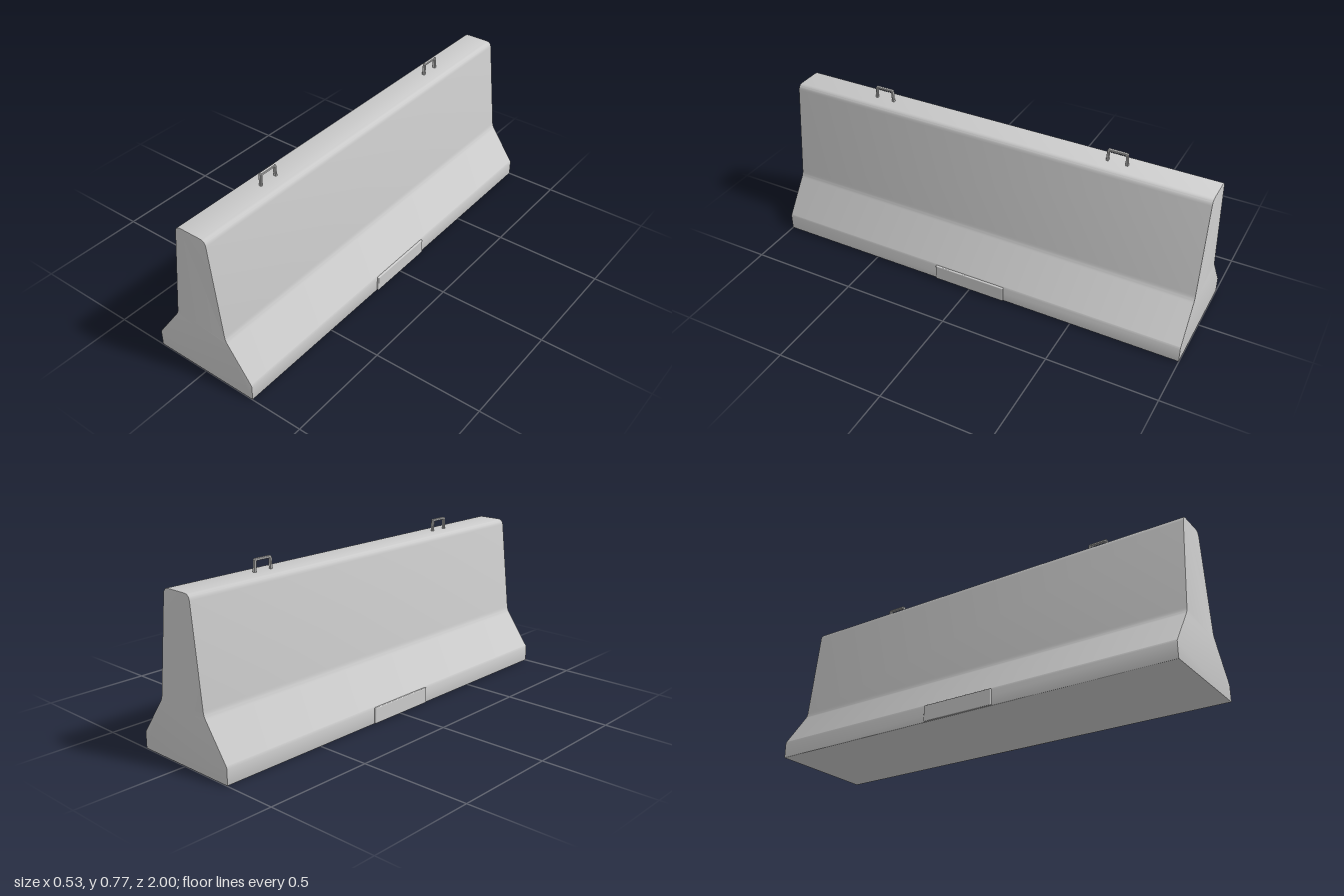
import * as THREE from 'three';
import { toCreasedNormals } from 'three/addons/utils/BufferGeometryUtils.js';
import { RoundedBoxGeometry } from 'three/addons/geometries/RoundedBoxGeometry.js';

export function createModel() {
  const model = new THREE.Group();
  model.name = 'roadBarrier';
  const concrete = new THREE.MeshStandardMaterial({ color: 0xcccccc });
  concrete.name = 'concrete grey';

  const add = (name, geometry, parent = model) => {
    const mesh = new THREE.Mesh(geometry, concrete);
    mesh.name = name;
    parent.add(mesh);
    return mesh;
  };

  // Barrier body: stepped profile with softened corners, run along z
  const s = new THREE.Shape();
  s.moveTo(-0.252, 0);
  s.lineTo(0.252, 0);
  s.quadraticCurveTo(0.257, 0, 0.257, 0.006);
  s.lineTo(0.257, 0.07);
  s.quadraticCurveTo(0.257, 0.076, 0.253, 0.081);
  s.lineTo(0.143, 0.234);
  s.quadraticCurveTo(0.132, 0.248, 0.13, 0.268);
  s.lineTo(0.08, 0.69);
  s.quadraticCurveTo(0.076, 0.716, 0.05, 0.716);
  s.lineTo(-0.05, 0.716);
  s.quadraticCurveTo(-0.076, 0.716, -0.08, 0.69);
  s.lineTo(-0.13, 0.268);
  s.quadraticCurveTo(-0.132, 0.248, -0.143, 0.234);
  s.lineTo(-0.253, 0.081);
  s.quadraticCurveTo(-0.257, 0.076, -0.257, 0.07);
  s.lineTo(-0.257, 0.006);
  s.quadraticCurveTo(-0.257, 0, -0.252, 0);

  const bevel = 0.003;
  const body = new THREE.ExtrudeGeometry(s, {
    depth: 2 - 2 * bevel, curveSegments: 6,
    bevelEnabled: true, bevelSize: bevel, bevelThickness: bevel,
    bevelOffset: -bevel, bevelSegments: 2,
  });
  body.translate(0, 0, -1 + bevel);
  add('barrierBody', toCreasedNormals(body, 0.5));

  // Raised pads at the foot of both long sides
  for (const [side, name] of [[1, 'leftFootPad'], [-1, 'rightFootPad']]) {
    add(name, new RoundedBoxGeometry(0.03, 0.073, 0.346, 2, 0.004))
      .position.set(side * 0.25, 0.0395, 0);
  }

  // Lifting handles: square bar with slightly splayed legs
  const h = new THREE.Shape();
  h.moveTo(-0.05, 0.7);
  h.lineTo(-0.039, 0.7);
  h.lineTo(-0.036, 0.762);
  h.lineTo(0.036, 0.762);
  h.lineTo(0.039, 0.7);
  h.lineTo(0.05, 0.7);
  h.lineTo(0.046, 0.767);
  h.lineTo(0.041, 0.772);
  h.lineTo(-0.041, 0.772);
  h.lineTo(-0.046, 0.767);
  const bar = new THREE.ExtrudeGeometry(h, {
    depth: 0.01, bevelSize: 0.002, bevelThickness: 0.002,
    bevelOffset: -0.002, bevelSegments: 1,
  });
  bar.translate(0, 0, -0.005);
  bar.rotateY(Math.PI / 2);
  for (const [z, name] of [[0.567, 'frontLiftingHandle'], [-0.567, 'backLiftingHandle']]) {
    add(name, bar).position.z = z;
  }

  return model;
}
